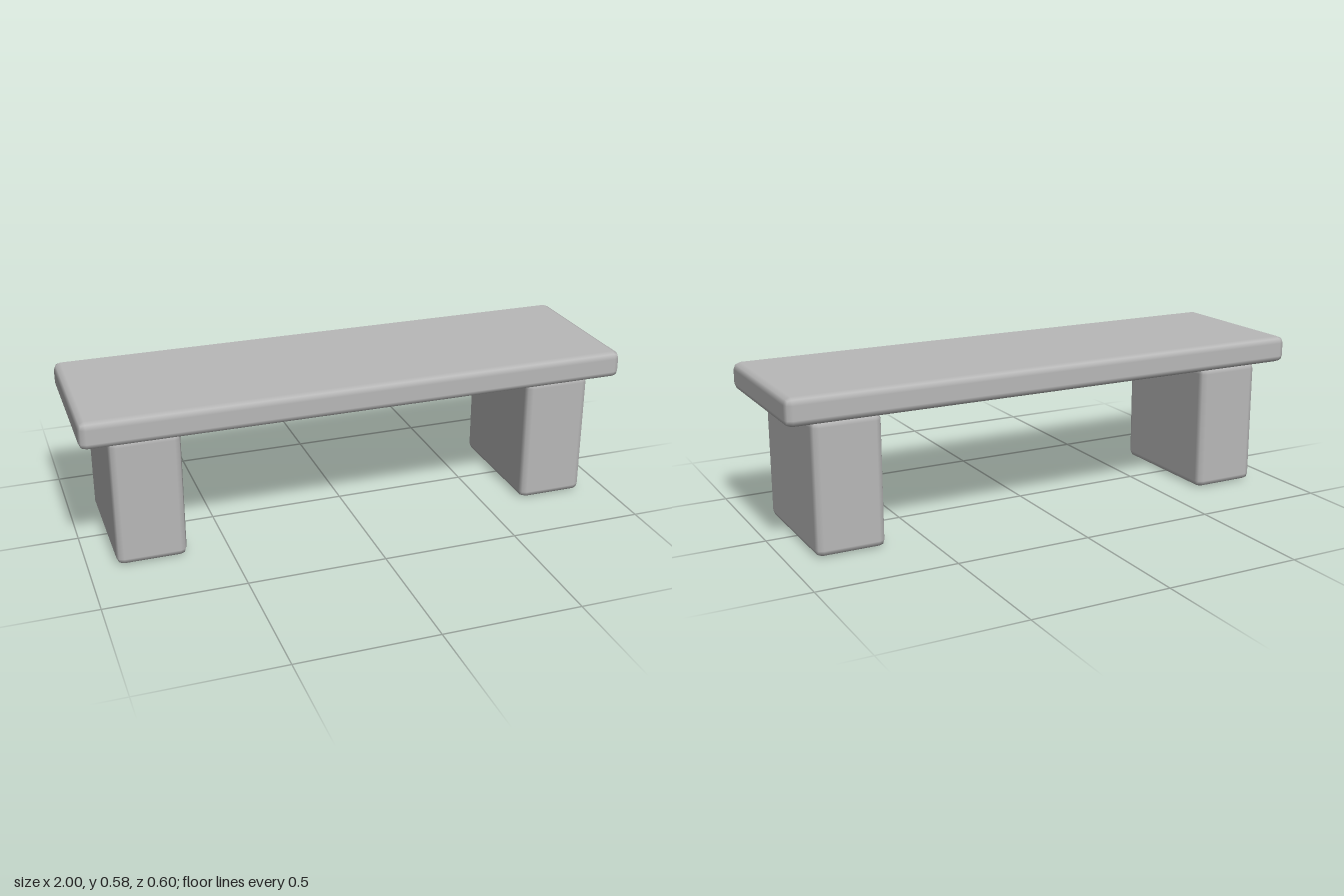
import * as THREE from 'three';
import { RoundedBoxGeometry } from 'three/addons/geometries/RoundedBoxGeometry.js';

const LEG_HEIGHT = 0.477;
const SEAT_THICKNESS = 0.1;
const BEVEL = 0.025;

export function createModel() {
  const bench = new THREE.Group();
  bench.name = 'bench';

  const stone = new THREE.MeshStandardMaterial({ color: 0xb8b8b8 });
  stone.name = 'grey stone';

  // Softly bevelled block standing with its underside at height y
  function addBlock(name, width, height, depth, x, y) {
    const block = new THREE.Mesh(new RoundedBoxGeometry(width, height, depth, 1, BEVEL), stone);
    block.name = name;
    block.position.set(x, y + height / 2, 0);
    bench.add(block);
  }

  // Seat slab overhanging the legs on all sides
  addBlock('seat', 2, SEAT_THICKNESS, 0.6, 0, LEG_HEIGHT);

  // Mirrored pair of block legs
  for (const [name, side] of [['leftLeg', 1], ['rightLeg', -1]]) {
    addBlock(name, 0.25, LEG_HEIGHT, 0.5, side * 0.775, 0);
  }

  return bench;
}
